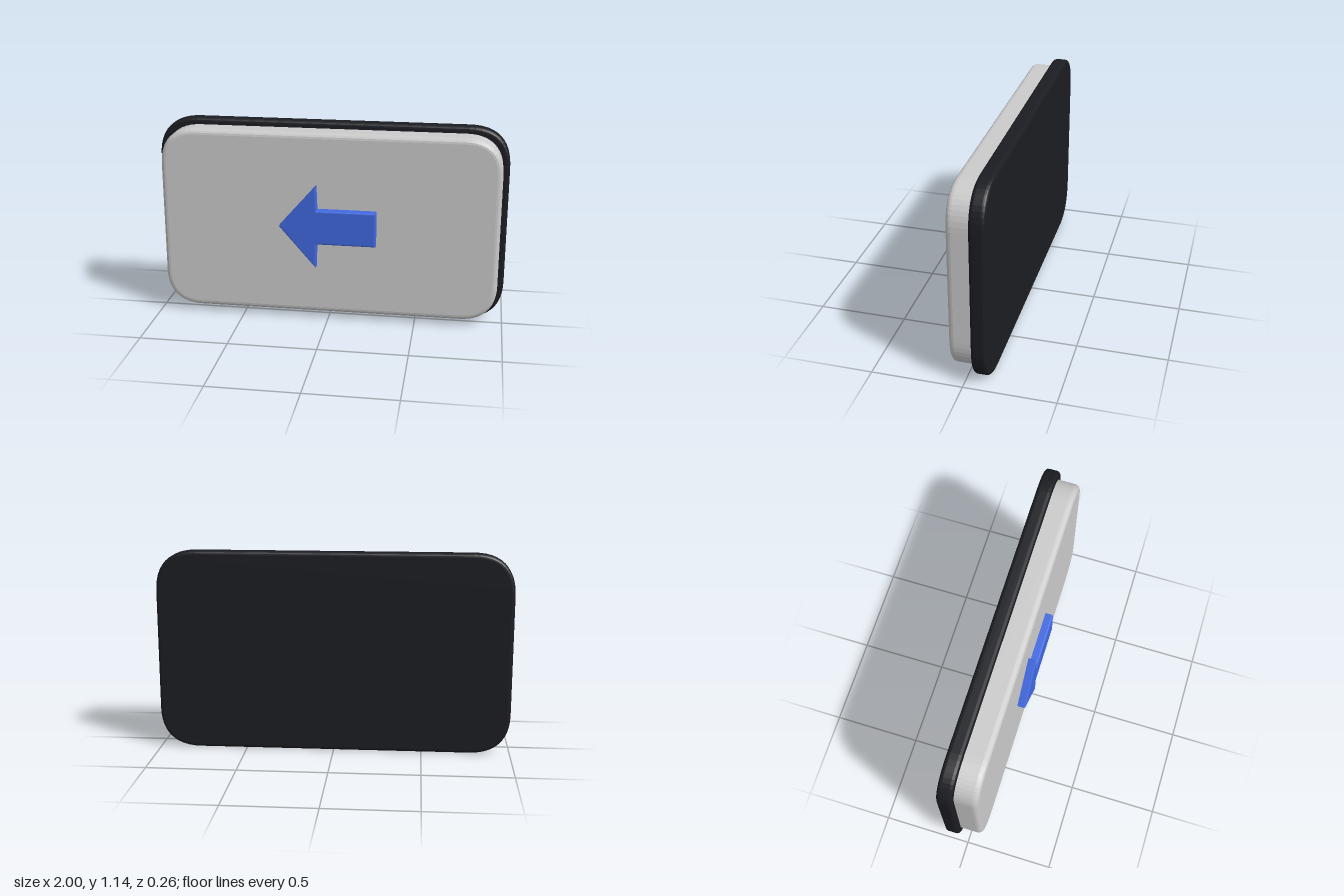
import * as THREE from 'three';

const CENTER_Y = 0.57;

// Rounded rectangle outline, centred on the origin
function roundedRect(hw, hh, r) {
  const s = new THREE.Shape();
  s.moveTo(-hw + r, -hh);
  s.lineTo(hw - r, -hh);
  s.quadraticCurveTo(hw, -hh, hw, -hh + r);
  s.lineTo(hw, hh - r);
  s.quadraticCurveTo(hw, hh, hw - r, hh);
  s.lineTo(-hw + r, hh);
  s.quadraticCurveTo(-hw, hh, -hw, hh - r);
  s.lineTo(-hw, -hh + r);
  s.quadraticCurveTo(-hw, -hh, -hw + r, -hh);
  return s;
}

// Bevelled slab filling z0..z1; the bevel grows outward from the outline
function slab(name, shape, z0, z1, bevel, color) {
  const geometry = new THREE.ExtrudeGeometry(shape, {
    depth: z1 - z0 - 2 * bevel,
    bevelEnabled: true,
    bevelSize: bevel,
    bevelThickness: bevel,
    bevelSegments: 4,
    curveSegments: 12,
  });
  const mesh = new THREE.Mesh(geometry, new THREE.MeshStandardMaterial({ color }));
  mesh.name = name;
  mesh.position.set(0, CENTER_Y, z0 + bevel);
  return mesh;
}

export function createModel() {
  const group = new THREE.Group();
  group.name = 'arrowButton';

  // Dark backing plate
  group.add(slab('backPlate', roundedRect(0.98, 0.55, 0.21), -0.13, -0.045, 0.02, 0x1c1d22));

  // Grey key cap, its rear edge sunk into the plate
  group.add(slab('keyCap', roundedRect(0.933, 0.503, 0.18), -0.09, 0.083, 0.03, 0xcccccc));

  // Raised arrow pointing to -x
  const arrow = new THREE.Shape([
    [-0.262, 0], [-0.07, -0.228], [-0.07, -0.09], [0.265, -0.09],
    [0.265, 0.09], [-0.07, 0.09], [-0.07, 0.228],
  ].map(([x, y]) => new THREE.Vector2(x, y)));
  group.add(slab('arrow', arrow, 0.055, 0.13, 0.01, 0x4169e1));

  return group;
}
